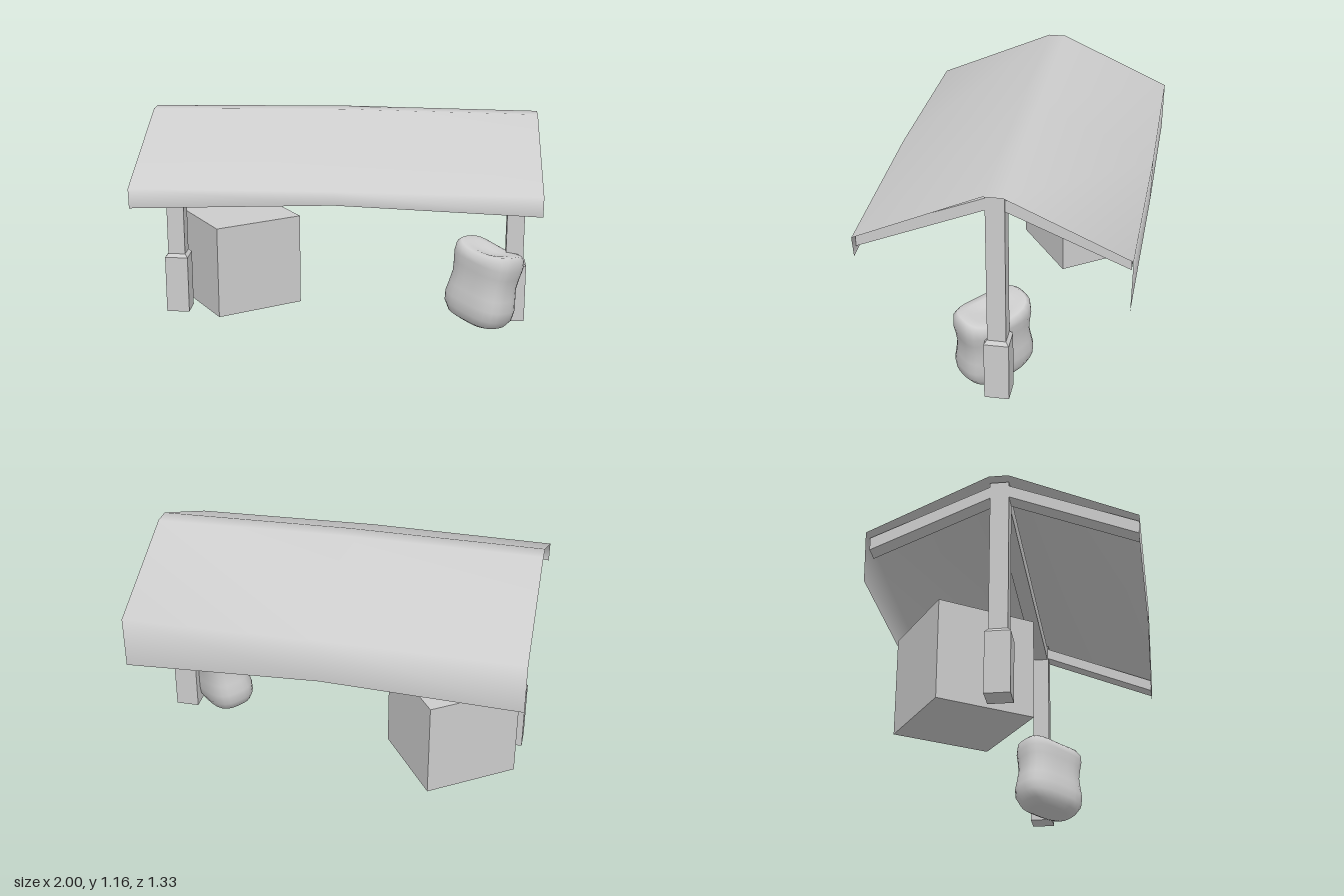
import * as THREE from 'three';
import { mergeVertices } from 'three/addons/utils/BufferGeometryUtils.js';

const POST_Z = -0.018;

export function createModel() {
  const model = new THREE.Group();
  model.name = 'marketShelter';

  const grey = new THREE.MeshStandardMaterial({ color: 0xcccccc });
  grey.name = 'plain grey';
  const cloth = new THREE.MeshStandardMaterial({ color: 0xcccccc, side: THREE.DoubleSide });
  cloth.name = 'cloth grey';

  const add = (name, geometry, parent = model, material = grey) => {
    const mesh = new THREE.Mesh(geometry, material);
    mesh.name = name;
    parent.add(mesh);
    return mesh;
  };
  const box = (name, w, y0, y1, d, parent) => {
    const mesh = add(name, new THREE.BoxGeometry(w, y1 - y0, d), parent);
    mesh.position.y = (y0 + y1) / 2;
    return mesh;
  };

  // Cloth roof: a folded sheet with a slightly raised middle
  add('clothRoof', roofGeometry(), model, cloth);

  // Two end frames: footing, bevelled collar, post and a pair of rafters
  for (const side of [-1, 1]) {
    const frame = new THREE.Group();
    frame.name = side > 0 ? 'leftFrame' : 'rightFrame';
    frame.position.set(side * 0.911, 0, POST_Z);
    model.add(frame);
    box('footing', 0.123, 0.02, 0.33, 0.123, frame);
    box('post', 0.092, 0.33, 1.14, 0.092, frame);

    const r = Math.SQRT1_2;
    const collar = new THREE.CylinderGeometry(0.092 * r, 0.123 * r, 0.018, 4)
      .rotateY(Math.PI / 4).toNonIndexed();
    collar.computeVertexNormals();
    add('collar', collar, frame).position.y = 0.339;

    for (const dir of [-1, 1]) {
      const end = 0.645 * dir - POST_Z;
      const profile = new THREE.Shape([
        [0.04 * dir, 1.06], [end, 0.81], [end, 0.875], [0.04 * dir, 1.122],
      ].map(([z, y]) => new THREE.Vector2(-z, y)));
      const rafter = new THREE.ExtrudeGeometry(profile, { depth: 0.086, bevelEnabled: false });
      rafter.translate(0, 0, -0.043).rotateY(Math.PI / 2);
      add(dir > 0 ? 'frontRafter' : 'backRafter', rafter, frame);
    }
  }

  // Ridge beam between the posts
  box('ridgeBeam', 1.74, 1.05, 1.13, 0.08).position.z = POST_Z;

  // Crate, turned on the ground
  const crate = box('crate', 0.5, 0.02, 0.52, 0.5);
  crate.position.x = -0.606;
  crate.position.z = -0.234;
  crate.rotation.y = 0.602;

  // Leaning sack
  add('sack', sackGeometry());
  return model;
}

function roofGeometry() {
  const ends = [[0.643, 0.78], [0.65, 0.88], [0.03, 1.15], [-0.065, 1.15], [-0.655, 0.88], [-0.65, 0.615]];
  const middle = [[0.655, 0.82], [0.662, 0.89], [0.03, 1.162], [-0.065, 1.162], [-0.665, 0.89], [-0.66, 0.66]];
  const positions = [], index = [];
  [[-1, ends], [0, middle], [1, ends]].forEach(([x, rows], i) => {
    rows.forEach(([z, y], j) => {
      positions.push(x, y, z);
      if (i < 2 && j < 5) {
        const a = i * 6 + j, b = a + 6;
        index.push(a, b, a + 1, b, b + 1, a + 1);
      }
    });
  });
  const geometry = new THREE.BufferGeometry();
  geometry.setAttribute('position', new THREE.Float32BufferAttribute(positions, 3));
  geometry.setIndex(index);
  geometry.computeVertexNormals();
  return geometry;
}

function sackGeometry() {
  // Waisted profile, squared off and flattened, with two raised top corners
  const profile = [
    [0, 0.01], [0.55, 0], [0.82, 0.02], [0.97, 0.065], [1, 0.12], [0.95, 0.18], [0.91, 0.24],
    [0.94, 0.3], [0.98, 0.35], [0.96, 0.39], [0.85, 0.417], [0.6, 0.42], [0.3, 0.41], [0, 0.405],
  ].map(([r, y]) => new THREE.Vector2(r, y));
  let geometry = new THREE.LatheGeometry(profile, 28);
  const p = geometry.attributes.position;
  for (let i = 0; i < p.count; i++) {
    const x = p.getX(i), z = p.getZ(i), y = p.getY(i);
    const r = Math.hypot(x, z);
    const k = r > 0 ? r / Math.cbrt(Math.abs(x) ** 3 + Math.abs(z) ** 3) : 1;
    const lift = y > 0.38 ? 0.035 * ((x * k) ** 2 - 0.5) : 0;
    p.setXYZ(i, x * k * 0.2, y + lift, z * k * 0.13);
  }
  geometry.deleteAttribute('uv');
  geometry.deleteAttribute('normal');
  geometry = mergeVertices(geometry, 1e-4);
  geometry.rotateY(-Math.PI / 4).rotateZ(-0.17);
  geometry.computeBoundingBox();
  const { min, max } = geometry.boundingBox;
  geometry.translate(0.752 - (min.x + max.x) / 2, -min.y, 0.037 - (min.z + max.z) / 2);
  geometry.computeVertexNormals();
  return geometry;
}
